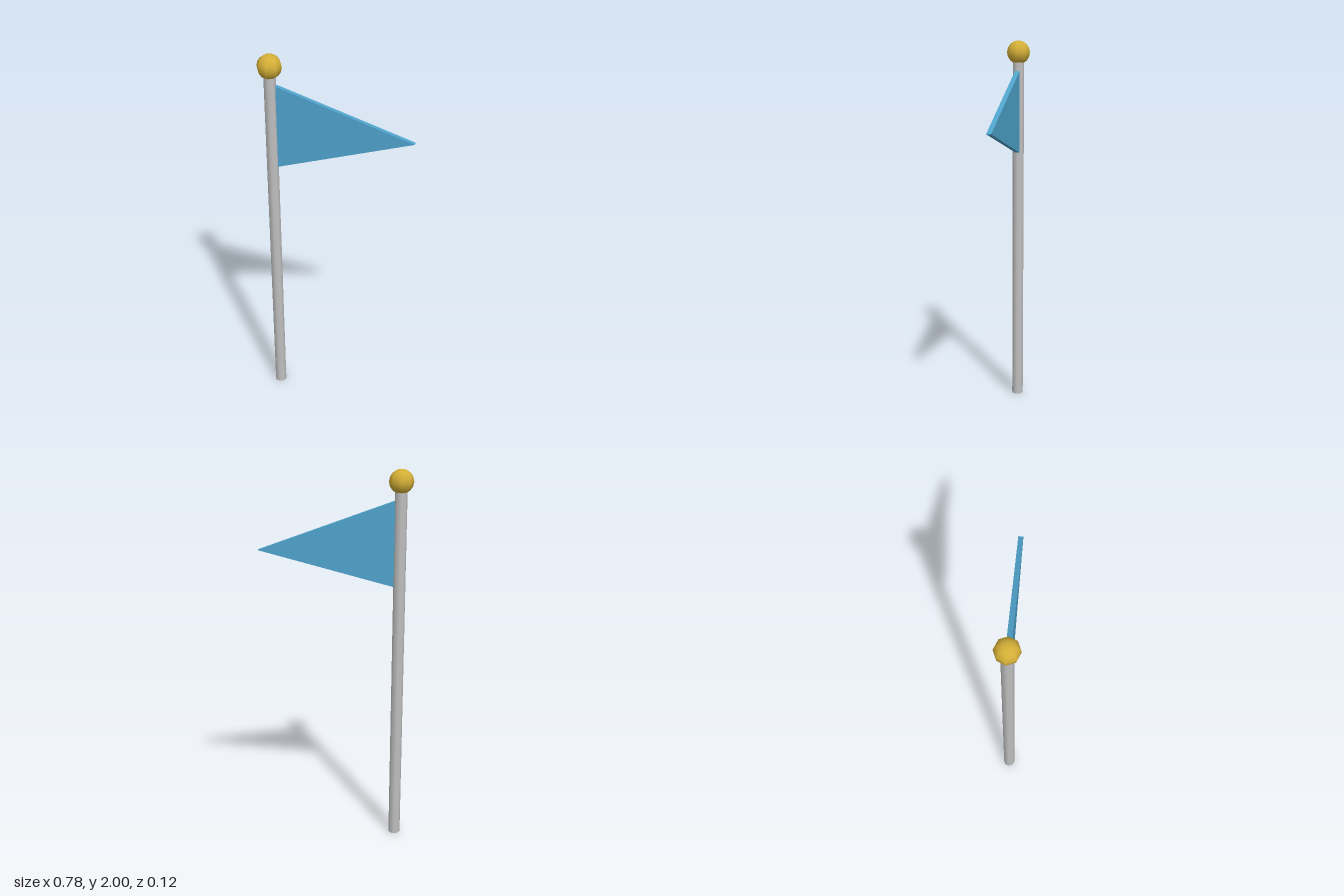
import * as THREE from 'three';

const material = (name, color) => Object.assign(new THREE.MeshStandardMaterial({ color }), { name });

export function createModel() {
  const silver = material('silver', 0xc0c0c0);
  const gold = material('gold', 0xd4af37);
  const blue = material('blue', 0x4fa3cc);

  const model = new THREE.Group();
  model.name = 'pennantOnPole';
  const poleX = -0.328, poleRadius = 0.031, poleHeight = 1.9375;

  const add = (name, geometry, mat, x, y, z) => {
    const mesh = new THREE.Mesh(geometry, mat);
    mesh.name = name;
    mesh.position.set(x, y, z);
    model.add(mesh);
  };

  // Eight-sided pole
  add('pole', new THREE.CylinderGeometry(poleRadius, poleRadius, poleHeight, 8), silver, poleX, poleHeight / 2, 0);

  // Ball finial centred on the pole's top
  add('finial', new THREE.SphereGeometry(0.0625, 8, 8), gold, poleX, poleHeight, 0);

  // Triangular pennant, its tip a little below mid height
  const outline = new THREE.Shape([
    new THREE.Vector2(0, 1.403),
    new THREE.Vector2(0.6885, 1.592),
    new THREE.Vector2(0, 1.841),
  ]);
  const thickness = 0.025;
  add('pennant', new THREE.ExtrudeGeometry(outline, { depth: thickness, bevelEnabled: false }),
    blue, poleX + 0.03, 0, -thickness / 2);

  return model;
}
